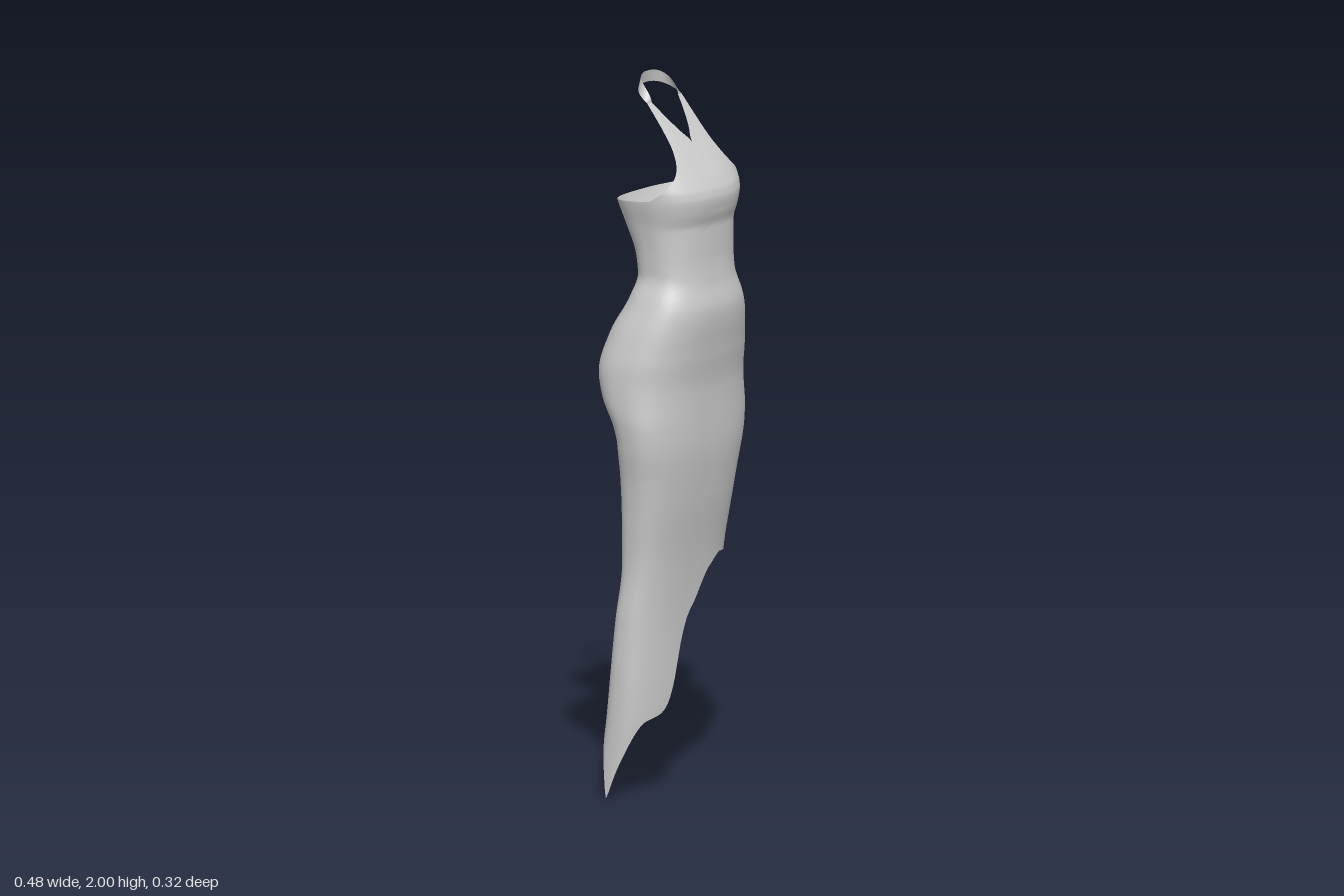
import * as THREE from 'three';
import { ParametricGeometry } from 'three/addons/geometries/ParametricGeometry.js';

// Smooth interpolation through [key, value] pairs without overshoot
function curve(points) {
  const n = points.length;
  const slope = (i) => (points[i + 1][1] - points[i][1]) / (points[i + 1][0] - points[i][0]);
  const tangent = points.map((_, i) => {
    if (i === 0) return slope(0);
    if (i === n - 1) return slope(n - 2);
    const a = slope(i - 1), b = slope(i);
    return a * b <= 0 ? 0 : (2 * a * b) / (a + b);
  });
  return (k) => {
    const key = THREE.MathUtils.clamp(k, points[0][0], points[n - 1][0]);
    let i = 0;
    while (i < n - 2 && key > points[i + 1][0]) i++;
    const h = points[i + 1][0] - points[i][0];
    const t = (key - points[i][0]) / h, t2 = t * t, t3 = t2 * t;
    return (2 * t3 - 3 * t2 + 1) * points[i][1] + (t3 - 2 * t2 + t) * h * tangent[i]
      + (3 * t2 - 2 * t3) * points[i + 1][1] + (t3 - t2) * h * tangent[i + 1];
  };
}

// Body silhouette by height: half width, front depth and back depth
const halfWidth = curve([[0, 0.2], [0.3, 0.2], [0.5, 0.195], [0.64, 0.187], [0.8, 0.198], [0.9, 0.21],
  [1, 0.228], [1.1, 0.238], [1.2, 0.234], [1.3, 0.212], [1.4, 0.175], [1.47, 0.15], [1.53, 0.152],
  [1.6, 0.16], [1.68, 0.177], [1.75, 0.183], [1.95, 0.185]]);
const frontZ = curve([[0, 0.005], [0.1, 0.02], [0.23, 0.04], [0.5, 0.055], [0.66, 0.072], [0.85, 0.105],
  [1, 0.124], [1.15, 0.129], [1.25, 0.144], [1.37, 0.16], [1.45, 0.145], [1.52, 0.139], [1.6, 0.139],
  [1.64, 0.15], [1.68, 0.156], [1.7, 0.152], [1.73, 0.135], [1.767, 0.107], [1.86, 0.03], [1.93, -0.03]]);
const backZ = curve([[0, -0.165], [0.1, -0.15], [0.23, -0.13], [0.5, -0.1], [0.66, -0.082], [0.9, -0.08],
  [1, -0.081], [1.05, -0.092], [1.13, -0.138], [1.2, -0.156], [1.3, -0.13], [1.4, -0.078], [1.46, -0.06],
  [1.52, -0.067], [1.6, -0.1], [1.66, -0.125], [1.68, -0.13], [1.77, -0.11], [1.86, -0.17], [1.93, -0.23]]);

// Slanted hem height by angle from the left side (0) to the right side (180)
const hem = curve([[0, 0.635], [30, 0.652], [51, 0.66], [73, 0.625], [90, 0.52], [95.5, 0.45], [103, 0.31],
  [109, 0.26], [116, 0.24], [136, 0.222], [145, 0.2], [160, 0.135], [172, 0.07], [180, 0.005]]);

// Bib edges by height: armhole side and neckline side
const bibOuter = curve([[1.68, 0.177], [1.7, 0.17], [1.73, 0.145], [1.76, 0.115], [1.79, 0.096],
  [1.83, 0.083], [1.88, 0.078], [1.93, 0.076]]);
const bibInner = curve([[1.68, 0], [1.82, 0], [1.86, 0.024], [1.9, 0.045], [1.93, 0.058]]);

const ROUND = 0.8;
const soft = (v) => Math.sign(v) * Math.abs(v) ** ROUND;
const chest = 1.68;

function bodySurface(u, v, target) {
  const a = v * Math.PI * 2;
  const c = Math.cos(a), s = Math.sin(a);
  const bottom = hem(THREE.MathUtils.radToDeg(Math.acos(THREE.MathUtils.clamp(c, -1, 1))));
  const top = chest - 0.018 * Math.max(0, -s);
  const y = THREE.MathUtils.lerp(bottom, top, u);
  const mid = (frontZ(y) + backZ(y)) / 2, depth = (frontZ(y) - backZ(y)) / 2;
  target.set(halfWidth(y) * soft(c), y, mid + depth * soft(s));
}

// One half of the bib; side is 1 for left, -1 for right
const bibSurface = (side) => (u, v, target) => {
  const y = THREE.MathUtils.lerp(chest, 1.93, u);
  const t = side > 0 ? 1 - v : v;
  const x = THREE.MathUtils.lerp(bibInner(y), bibOuter(y), Math.sin(t * Math.PI / 2));
  const mid = (frontZ(y) + backZ(y)) / 2, depth = (frontZ(y) - backZ(y)) / 2;
  const k = Math.max(0, 1 - (x / halfWidth(y)) ** (2 / ROUND));
  target.set(side * x, y, mid + depth * k ** (ROUND / 2));
};

// Ribbon around the back of the neck, joining the two bib straps
function neckSurface(u, v, target) {
  const a = (1 - v) * Math.PI;
  const c = soft(Math.cos(a)), s = Math.max(0, Math.sin(a));
  const lower = new THREE.Vector3(0.076 * c, 1.93 + 0.037 * s, -0.034 - 0.064 * s);
  const upper = new THREE.Vector3((0.058 + 0.012 * s) * c, 1.93 + 0.07 * s ** 0.6, -0.032 - 0.06 * s);
  target.lerpVectors(lower, upper, u);
}

export function createModel() {
  const dress = new THREE.Group();
  dress.name = 'halterDress';
  const fabric = new THREE.MeshStandardMaterial({ color: 0xcccccc, side: THREE.DoubleSide });
  const add = (name, surface, rows, columns) => {
    const mesh = new THREE.Mesh(new ParametricGeometry(surface, rows, columns), fabric);
    mesh.name = name;
    dress.add(mesh);
  };
  add('dressBody', bodySurface, 90, 160);
  add('bibLeft', bibSurface(1), 50, 24);
  add('bibRight', bibSurface(-1), 50, 24);
  add('neckStrap', neckSurface, 4, 40);
  return dress;
}
